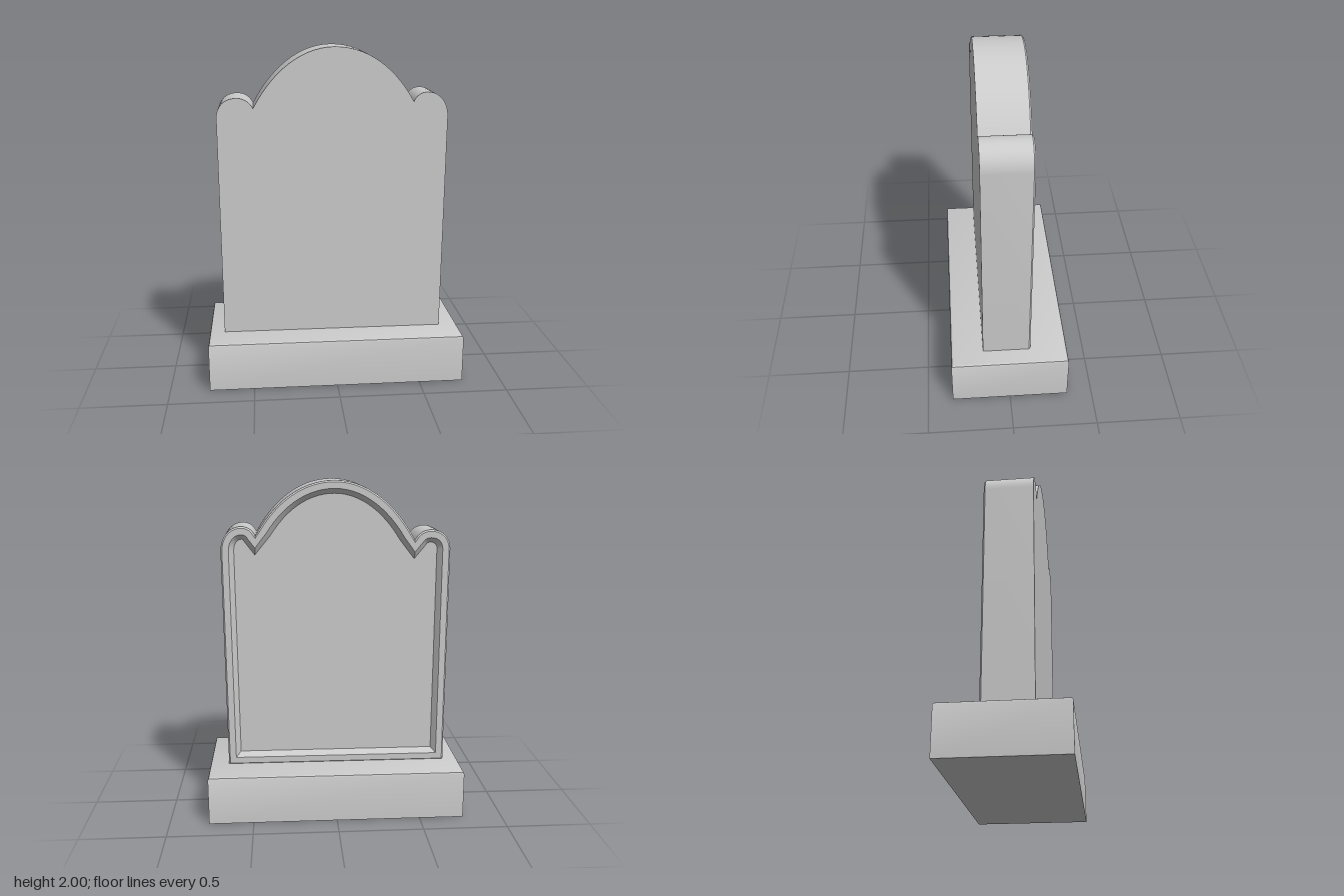
import * as THREE from 'three';
import { toCreasedNormals } from 'three/addons/utils/BufferGeometryUtils.js';

// Move a counter-clockwise closed outline inwards, with limited mitres
function inset(points, d) {
  const n = points.length;
  return points.map((p, i) => {
    const a = p.clone().sub(points[(i + n - 1) % n]).normalize();
    const b = points[(i + 1) % n].clone().sub(p).normalize();
    const dir = new THREE.Vector2(-a.y - b.y, a.x + b.x).normalize();
    const cos = dir.x * -a.y + dir.y * a.x;
    return p.clone().addScaledVector(dir, d * Math.min(1 / cos, 1.5));
  });
}

// Closed solid from inset copies of an outline, each [inset, z], ordered from +z to -z
function loft(outline, levels) {
  const n = outline.length;
  const rings = levels.map(([d]) => inset(outline, d));
  const pos = [];
  const index = [];
  rings.forEach((ring, k) => ring.forEach((p) => pos.push(p.x, p.y, levels[k][1])));
  for (let k = 0; k < rings.length - 1; k++) {
    for (let i = 0; i < n; i++) {
      const j = (i + 1) % n;
      const a = k * n + i, b = k * n + j, c = a + n, e = b + n;
      index.push(a, c, b, b, c, e);
    }
  }
  const last = (rings.length - 1) * n;
  for (const [a, b, c] of THREE.ShapeUtils.triangulateShape(rings[0], [])) index.push(a, b, c);
  for (const [a, b, c] of THREE.ShapeUtils.triangulateShape(rings[rings.length - 1], [])) {
    index.push(last + a, last + c, last + b);
  }
  const geo = new THREE.BufferGeometry();
  geo.setAttribute('position', new THREE.Float32BufferAttribute(pos, 3));
  geo.setIndex(index);
  return toCreasedNormals(geo, 0.5);
}

// Headstone silhouette: a tall arch between two small shoulders
function stoneOutline() {
  const s = new THREE.Shape();
  s.moveTo(-0.675, 0.285);
  s.lineTo(0.652, 0.285);
  s.lineTo(0.662, 1.6);
  s.bezierCurveTo(0.66, 1.68, 0.61, 1.74, 0.54, 1.74);
  s.bezierCurveTo(0.505, 1.74, 0.475, 1.72, 0.46, 1.685);
  s.bezierCurveTo(0.35, 1.88, 0.19, 2, 0, 2);
  s.bezierCurveTo(-0.19, 2, -0.36, 1.86, -0.47, 1.655);
  s.bezierCurveTo(-0.49, 1.695, -0.525, 1.715, -0.565, 1.715);
  s.bezierCurveTo(-0.63, 1.715, -0.68, 1.67, -0.68, 1.6);
  s.closePath();
  const pts = s.getPoints(14);
  if (pts[0].distanceTo(pts[pts.length - 1]) < 1e-6) pts.pop();
  return pts;
}

export function createModel() {
  const group = new THREE.Group();
  group.name = 'gravestone';
  const material = new THREE.MeshStandardMaterial({ color: 0xcccccc });

  // Plinth with a chamfered top edge
  const rect = [[-1, -1], [1, -1], [1, 1], [-1, 1]]
    .map(([x, y]) => new THREE.Vector2(x * 0.765, y * 0.35));
  const plinthGeo = loft(rect, [[0.014, 0.29], [0.004, 0.286], [0, 0.276], [0, 0]]);
  plinthGeo.rotateX(-Math.PI / 2);
  const plinth = new THREE.Mesh(plinthGeo, material);
  plinth.name = 'plinth';
  group.add(plinth);

  // Headstone: plain front, back with a raised rim around a sunken panel
  const stone = new THREE.Mesh(loft(stoneOutline(), [
    [0, 0.157], [0, -0.121], [0.009, -0.13], [0.046, -0.13], [0.055, -0.121], [0.075, -0.098],
  ]), material);
  stone.name = 'headstone';
  group.add(stone);

  return group;
}
